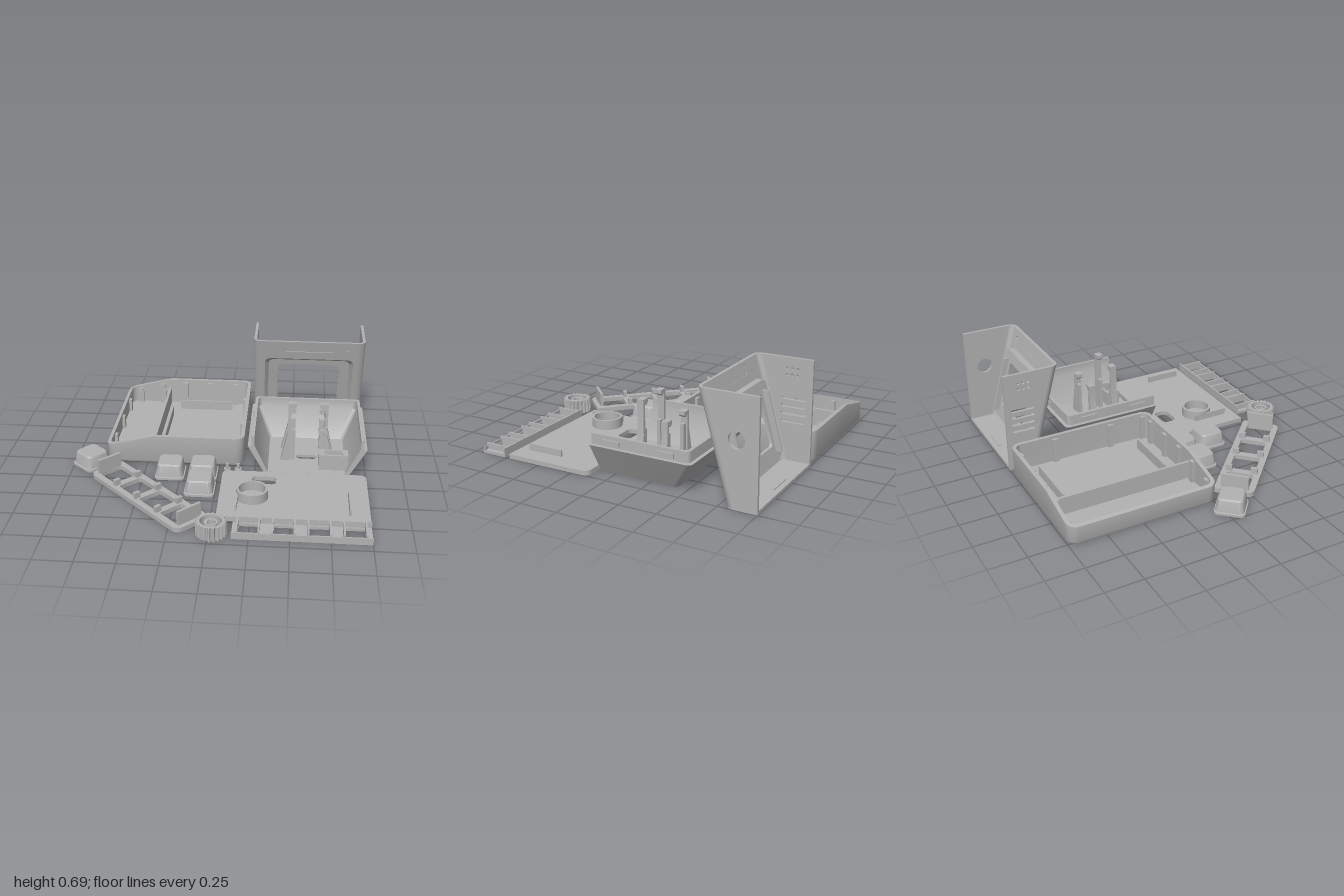
import * as THREE from 'three';
import { toCreasedNormals } from 'three/addons/utils/BufferGeometryUtils.js';

const grey = new THREE.MeshStandardMaterial({ color: 0xb2b2b2, side: THREE.DoubleSide });
grey.name = 'printed grey';

function add(parent, name, geo, x = 0, y = 0, z = 0) {
  const mesh = new THREE.Mesh(toCreasedNormals(geo, 0.6), grey);
  mesh.name = name;
  mesh.position.set(x, y, z);
  parent.add(mesh);
  return mesh;
}
function addGroup(parent, name, x = 0, z = 0, turn = 0) {
  const g = new THREE.Group();
  g.name = name;
  g.position.set(x, 0, z);
  g.rotation.y = turn;
  parent.add(g);
  return g;
}
// box given by its limits
function box(parent, name, x0, x1, y0, y1, z0, z1) {
  return add(parent, name, new THREE.BoxGeometry(x1 - x0, y1 - y0, z1 - z0),
    (x0 + x1) / 2, (y0 + y1) / 2, (z0 + z1) / 2);
}
// rounded rectangle as points; radii for corners (+,+) (-,+) (-,-) (+,-)
function rect(x0, y0, x1, y1, r = 0, seg = 6) {
  const radii = Array.isArray(r) ? r : [r, r, r, r];
  const pts = [];
  radii.forEach((rad, k) => {
    const sx = k === 0 || k === 3 ? 1 : -1, sy = k < 2 ? 1 : -1;
    const cx = (sx > 0 ? x1 : x0) - sx * rad, cy = (sy > 0 ? y1 : y0) - sy * rad;
    for (let i = 0; i <= (rad ? seg : 0); i++) {
      const a = (k + i / seg) * Math.PI / 2;
      pts.push(new THREE.Vector2(cx + rad * Math.cos(a), cy + rad * Math.sin(a)));
    }
  });
  return pts;
}
function circle(x, y, r, n = 32) {
  return Array.from({ length: n }, (_, i) => new THREE.Vector2(
    x + r * Math.cos(i * 2 * Math.PI / n), y + r * Math.sin(i * 2 * Math.PI / n)));
}
function extrude(pts, depth, holes = []) {
  const s = new THREE.Shape(pts);
  s.holes = holes.map((h) => new THREE.Path(h));
  return new THREE.ExtrudeGeometry(s, { depth, bevelEnabled: false });
}
// outline in x,z raised from y = 0 to h
const slab = (pts, h, holes) => extrude(pts, h, holes).rotateX(Math.PI / 2).translate(0, h, 0);

// surface through cross-section loops, with optional end caps
function skin(loops, { closed = true, start = false, end = false } = {}) {
  const v = [], n = loops[0].length;
  const tri = (...ps) => ps.forEach((p) => v.push(p.x, p.y, p.z));
  const centre = (l) => l.reduce((s, p) => s.add(p), new THREE.Vector3()).divideScalar(n);
  for (let k = 0; k + 1 < loops.length; k++) {
    const a = loops[k], b = loops[k + 1];
    for (let i = 0; i < (closed ? n : n - 1); i++) {
      const j = (i + 1) % n;
      tri(a[i], b[i], a[j]);
      tri(a[j], b[i], b[j]);
    }
  }
  const first = loops[0], last = loops[loops.length - 1];
  for (let i = 0; i < n; i++) {
    const j = (i + 1) % n;
    if (start) tri(centre(first), first[i], first[j]);
    if (end) tri(centre(last), last[j], last[i]);
  }
  const g = new THREE.BufferGeometry();
  g.setAttribute('position', new THREE.Float32BufferAttribute(v, 3));
  return g;
}
const level = (pts, y) => pts.map((p) => new THREE.Vector3(p.x, typeof y === 'function' ? y(p.x) : y, p.y));

// large open tray with a rim that drops towards one side
function largeTray(root) {
  const g = addGroup(root, 'largeTray');
  const top = (x) => (x > -0.45 ? 0.21 : 0.21 - (-0.45 - x) * 0.24);
  const ring = (d) => {
    const p = rect(-0.785 + d, -1 + d, 0.17 - d, 0.02 - d, 0.065 - d * 0.8);
    p.splice(14, 0, new THREE.Vector2(-0.785 + d, -0.5));
    p.splice(22, 0, new THREE.Vector2(-0.45, -1 + d));
    p.splice(7, 0, new THREE.Vector2(-0.45, 0.02 - d));
    return p;
  };
  add(g, 'trayShell', skin([level(ring(0.025), 0), level(ring(0.008), 0.008), level(ring(0), 0.025),
    level(ring(0), top), level(ring(0.025), top), level(ring(0.025), 0.02)], { start: true, end: true }));
  box(g, 'divider', -0.475, -0.455, 0.02, 0.14, -0.975, -0.005);
  box(g, 'longRib', -0.42, -0.41, 0.02, 0.09, -0.74, -0.24);
  for (const z of [-0.855, -0.125]) box(g, 'crossRib', -0.37, 0.03, 0.02, 0.09, z - 0.006, z + 0.006);
  for (const x of [-0.695, -0.52, -0.34, -0.15, 0.05])
    for (const z of [-0.965, -0.015]) box(g, 'wallClip', x - 0.02, x + 0.02, 0.02, top(x) - 0.02, z - 0.012, z + 0.012);
  for (const z of [-0.79, -0.49, -0.19]) box(g, 'wallClip', -0.765, -0.74, 0.02, 0.115, z - 0.02, z + 0.02);
  for (const z of [-0.69, -0.28, -0.03]) box(g, 'wallClip', 0.125, 0.15, 0.02, 0.19, z - 0.02, z + 0.02);
}

// leaning front shell with a recessed window
function screenShell(root) {
  const g = addGroup(root, 'screenShell', 0.6);
  const shear = (geo) => {
    const p = geo.attributes.position;
    for (let i = 0; i < p.count; i++) p.setZ(i, p.getZ(i) - 0.8 + p.getY(i) * 0.275);
    geo.computeVertexNormals();
    return geo;
  };
  const H = 0.69, t = 0.02, r = 0.05;
  add(g, 'frontPanel', shear(extrude(rect(-0.35, 0, 0.35, H), t,
    [rect(-0.32, 0.08, 0.32, 0.545, 0.04), rect(-0.18, 0.605, 0.18, 0.675, 0.02), circle(0.27, 0.635, 0.012, 12)])
    .translate(0, 0, -t)));
  add(g, 'labelRecess', shear(extrude(rect(-0.19, 0.6, 0.19, 0.68, 0.02), 0.008).translate(0, 0, -0.018)));
  const frame = (d, z) => rect(-0.32 + d, 0.08 + d, 0.32 - d, 0.545 - d, 0.04)
    .map((p) => new THREE.Vector3(p.x, p.y, z));
  const hole = (z) => rect(-0.225, 0.16, 0.22, 0.48, 0.02).map((p) => new THREE.Vector3(p.x, p.y, z));
  add(g, 'windowFrame', shear(skin([hole(-0.06), hole(-0.04), frame(0.025, -0.04), frame(0, 0),
    frame(-0.008, -0.01), frame(-0.008, -0.06), hole(-0.06)])));
  for (const s of [-1, 1]) {
    // rounded vertical corner
    const arc = [];
    for (let i = 0; i <= 6; i++) arc.push([i / 6 * Math.PI / 2, r]);
    for (let i = 6; i >= 0; i--) arc.push([i / 6 * Math.PI / 2, r - t]);
    add(g, 'shellCorner', shear(slab(arc.map(([a, q]) =>
      new THREE.Vector2(s * (0.35 + q * Math.cos(a)), -r + q * Math.sin(a))), H)));
    // side wall: round port on one side, vents on the other
    const holes = [];
    if (s > 0) holes.push(circle(-0.865, 0.42, 0.053));
    else {
      for (let i = 0; i < 4; i++) holes.push(rect(-0.96, 0.27 + i * 0.05, -0.8, 0.29 + i * 0.05, 0.009, 3));
      for (let i = 0; i < 6; i++)
        holes.push(circle(-0.9 + (i % 3) * 0.035, 0.58 + Math.floor(i / 3) * 0.04, 0.01, 10));
    }
    const side = [[-1, 0], [-0.85, 0], [-0.66, H], [-1, H]].map(([a, b]) => new THREE.Vector2(a, b));
    add(g, s > 0 ? 'portWall' : 'ventWall', extrude(side, t, holes).rotateY(-Math.PI / 2), s > 0 ? 0.4 : -0.38);
    // mounting fin along the window
    add(g, 'mountFin', shear(extrude(rect(s * 0.26 - 0.008, 0.12, s * 0.26 + 0.008, 0.5), 0.04).translate(0, 0, -0.1)));
  }
  add(g, 'shellFloor', slab(rect(-0.4, -1, 0.4, -0.797, [r, r, 0, 0]), t));
  box(g, 'floorTab', -0.09, 0.08, t, t + 0.006, -0.965, -0.945);
}

// sloped three-sided housing with an open front
function baseHousing(root) {
  const g = addGroup(root, 'baseHousing', 0.6);
  const front = 0.11;
  // half width, back z, height
  const profile = [[0.28, -0.43, 0], [0.4, -0.58, 0.21], [0.375, -0.555, 0.21], [0.375, -0.555, 0.28],
    [0.355, -0.535, 0.28], [0.355, -0.535, 0.215], [0.262, -0.42, 0.02]];
  add(g, 'slopedWalls', skin(profile.map(([w, z, y]) =>
    level(rect(-w, z, w, front, [0, 0, 0.03, 0.03]).slice(1).concat(new THREE.Vector2(w, front)), y)), { closed: false }));
  const left = profile.map(([w, , y]) => new THREE.Vector2(-w, y));
  const right = profile.map(([w, , y]) => new THREE.Vector2(w, y)).reverse();
  add(g, 'frontEdge', new THREE.ShapeGeometry(new THREE.Shape([...left, ...right])), 0, 0, front);
  add(g, 'housingFloor', slab(rect(-0.28, -0.43, 0.28, front, [0, 0, 0.03, 0.03]), 0.02,
    [rect(-0.07, -0.155, 0.07, -0.1, 0.025), rect(0.13, -0.02, 0.23, 0.035, 0.015)]));
  // hooked circuit board posts with braces
  for (const s of [-1, 1]) for (const [z, h] of [[-0.09, 0.45], [-0.258, 0.335]]) {
    const post = [[0.18, 0.02], [0.135, 0.22], [0.135, h], [0.08, h], [0.08, h - 0.025], [0.1, h - 0.04],
      [0.115, h - 0.025], [0.115, 0.02]].map(([x, y]) => new THREE.Vector2(s * x, y));
    add(g, 'hookedPost', extrude(post, 0.044), 0, 0, z - 0.022);
    box(g, 'boardRest', s * 0.1 - 0.018, s * 0.1 + 0.018, 0.02, 0.25, z - 0.012, z + 0.012);
  }
  add(g, 'socketBlock', slab(rect(0.08, -0.04, 0.28, 0.055), 0.11, [rect(0.12, -0.025, 0.24, 0.04)]), 0, 0.02);
  for (const s of [-1, 1]) for (const z of [-0.4, -0.03])
    box(g, 'rimClip', s * 0.38 - 0.006, s * 0.38 + 0.006, 0.225, 0.255, z - 0.06, z + 0.06);
  box(g, 'rimClip', -0.08, 0.08, 0.225, 0.255, -0.565, -0.553);
}

// flat plate with speaker ring and ribs
function bottomPlate(root) {
  const g = addGroup(root, 'bottomPlate');
  add(g, 'plate', slab(rect(0.035, 0.13, 1, 0.73, [0, 0, 0.045, 0.045]), 0.03, [rect(0.24, 0.2, 0.4, 0.3, 0.03)]));
  add(g, 'speakerRing', slab(circle(0.25, 0.475, 0.103, 40), 0.065, [circle(0.25, 0.475, 0.087, 40)]), 0, 0.03);
  for (const x of [0.155, 0.875]) box(g, 'plateRib', x - 0.006, x + 0.006, 0.03, 0.075, 0.41, 0.66);
}

// strip of four open bays
function bayStrip(root) {
  const g = addGroup(root, 'bayStrip');
  const bays = [0, 1, 2, 3].map((i) => 0.185 + i * 0.217);
  add(g, 'stripFloor', slab(rect(0.145, 0.765, 1, 0.935), 0.02, bays.map((x) => rect(x, 0.785, x + 0.12, 0.92))));
  for (const z of [0.765, 0.925]) box(g, 'stripRail', 0.145, 1, 0.02, z < 0.8 ? 0.06 : 0.045, z, z + 0.01);
  for (const x of bays) for (const e of [x - 0.014, x + 0.12])
    box(g, 'bayWall', e, e + 0.012, 0.02, 0.06, 0.765, 0.935);
}

// diagonal frame that holds the buttons
function buttonFrame(root) {
  const g = addGroup(root, 'buttonFrame', -0.43, 0.483, -Math.PI / 4);
  const at = [-0.334, -0.111, 0.111, 0.334];
  add(g, 'framePlate', slab(rect(-0.473, -0.13, 0.473, 0.13, [0.05, 0.05, 0, 0]), 0.03,
    at.map((x) => rect(x - 0.087, -0.087, x + 0.087, 0.087, 0.015))));
  for (const x of [-0.222, 0, 0.222]) for (const z of [-0.085, 0.085])
    box(g, 'frameRib', x - 0.012, x + 0.012, 0.03, 0.07, z - 0.022, z + 0.022);
  for (const x of [-0.432, 0.432]) box(g, 'endWall', x - 0.01, x + 0.01, 0.03, 0.125, -0.09, 0.09);
}

function button(root, x, z, turn) {
  const g = addGroup(root, 'button', x, z, turn);
  const sq = (h) => rect(-h, -h, h, h, 0.03);
  add(g, 'buttonCap', skin([level(sq(0.1), 0), level(sq(0.1), 0.015), level(sq(0.092), 0.018),
    level(sq(0.082), 0.095), level(sq(0.074), 0.105)], { start: true, end: true }));
}

// knurled knob, hollow on top, with a D-shaped shaft socket
function knob(root) {
  const g = addGroup(root, 'knob', 0.02, 0.887);
  const teeth = Array.from({ length: 80 }, (_, i) => {
    const a = i * Math.PI / 40, r = i % 4 < 2 ? 0.096 : 0.084;
    return new THREE.Vector2(r * Math.cos(a), r * Math.sin(a));
  });
  add(g, 'knobWall', slab(teeth, 0.095, [circle(0, 0, 0.068)]));
  add(g, 'knobFloor', slab(circle(0, 0, 0.07), 0.025));
  const dee = Array.from({ length: 17 }, (_, i) => {
    const a = (i / 16 * 1.5 - 0.75) * Math.PI;
    return new THREE.Vector2(0.03 * Math.cos(a), 0.03 * Math.sin(a));
  });
  add(g, 'shaftSocket', slab(circle(0, 0, 0.043), 0.085, [dee]));
}

export function createModel() {
  const root = new THREE.Group();
  root.name = 'enclosureParts';
  largeTray(root);
  screenShell(root);
  baseHousing(root);
  bottomPlate(root);
  bayStrip(root);
  buttonFrame(root);
  knob(root);
  for (const [x, z] of [[-0.32, 0.15], [-0.1, 0.14], [-0.1, 0.355]]) button(root, x, z, 0);
  button(root, -0.88, 0.06, -0.72);
  for (const x of [0.06, 0.135]) {
    add(root, 'pinHead', slab(circle(x, 0.068, 0.024, 20), 0.012));
    add(root, 'pinStem', slab(circle(x, 0.068, 0.011, 16), 0.05));
  }
  return root;
}
